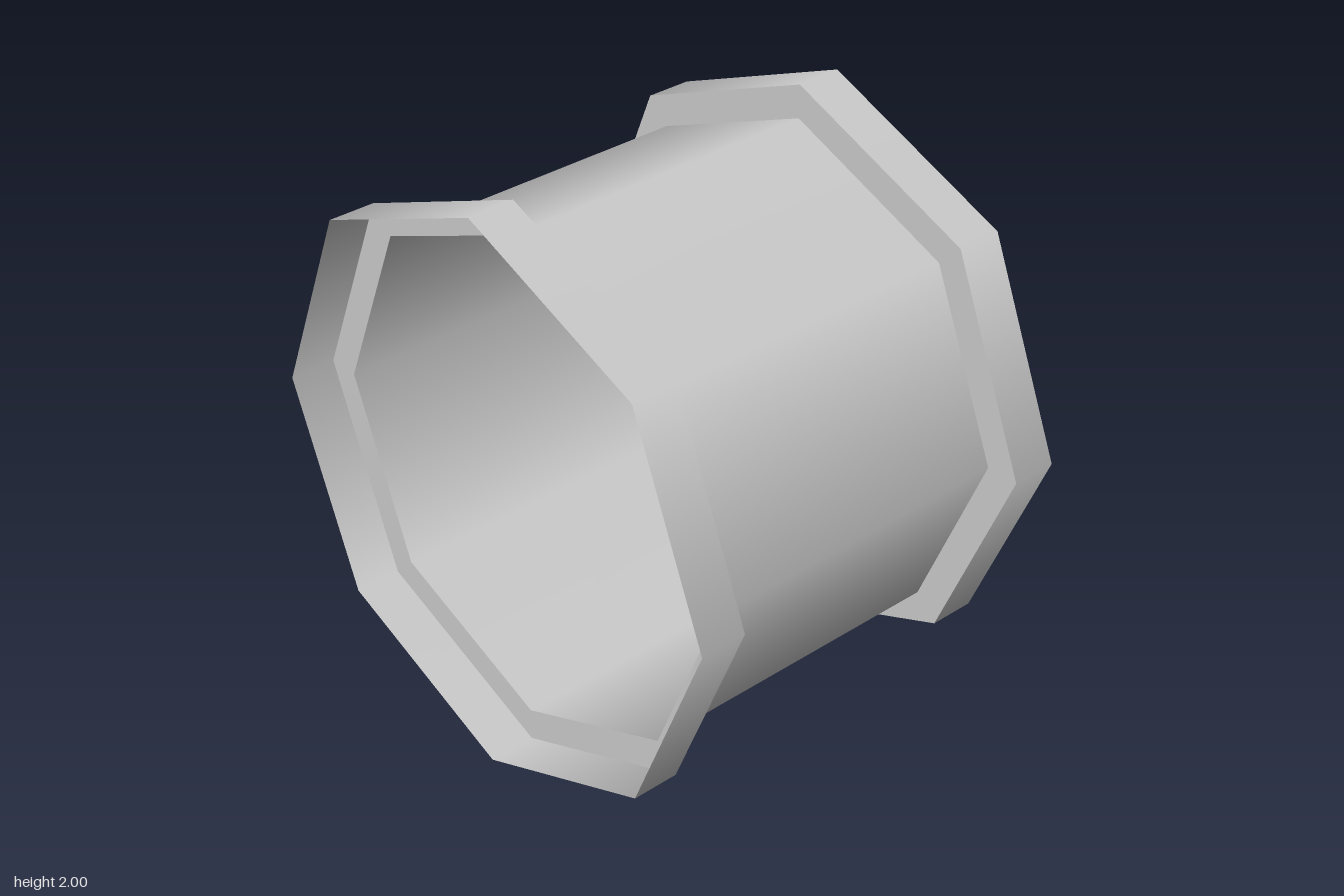
import * as THREE from 'three';

const SIDES = 8, RIM_R = 1, BODY_R = 0.883, STEP_X = 0.575, END_X = 0.74;

export function createModel() {
  const grey = new THREE.MeshStandardMaterial({ color: 0xcccccc, side: THREE.DoubleSide });
  grey.name = 'light grey';

  const model = new THREE.Group();
  model.name = 'pipeSection';

  const add = (name, geometry, x) => {
    const mesh = new THREE.Mesh(geometry, grey);
    mesh.name = name;
    mesh.position.set(x, 1, 0);
    model.add(mesh);
  };

  // Open eight-sided shell lying along x, with smooth normals
  const shell = (radius, length) =>
    new THREE.CylinderGeometry(radius, radius, length, SIDES, 1, true).rotateZ(Math.PI / 2);

  add('body', shell(BODY_R, STEP_X * 2), 0);

  // Wider open collars, each joined to the body by a flat step
  for (const [side, s] of [['left', 1], ['right', -1]]) {
    add(side + 'Collar', shell(RIM_R, END_X - STEP_X), s * (STEP_X + END_X) / 2);
    add(side + 'Step', new THREE.RingGeometry(BODY_R, RIM_R, SIDES).rotateY(s * Math.PI / 2), s * STEP_X);
  }
  return model;
}
